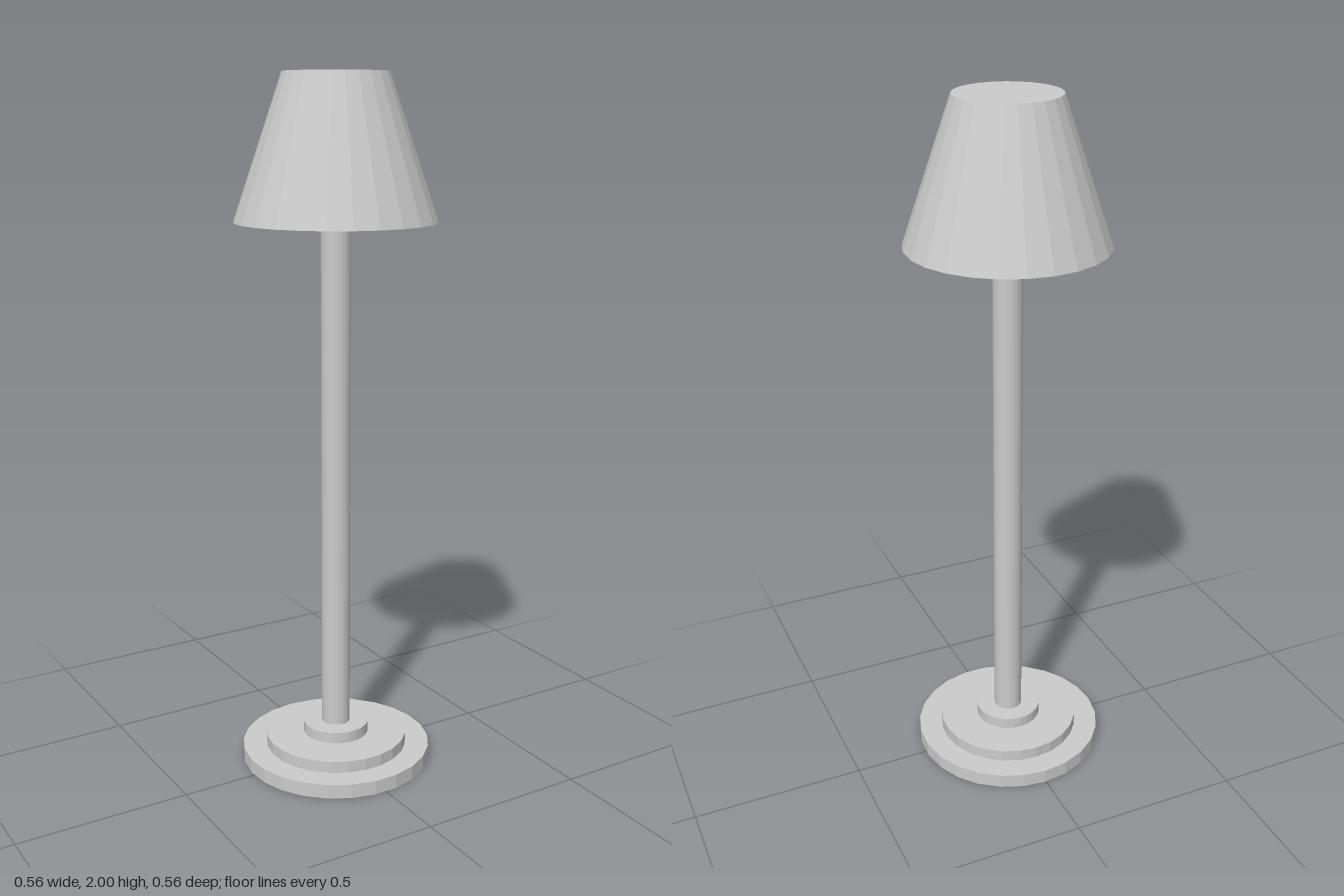
import * as THREE from 'three';

const SIDES = 25;

export function createModel() {
  const lamp = new THREE.Group();
  lamp.name = 'floorLamp';
  const solid = new THREE.MeshStandardMaterial({ color: 0xcccccc, flatShading: true });
  const thin = new THREE.MeshStandardMaterial({ color: 0xcccccc, flatShading: true, side: THREE.DoubleSide });

  // Faceted round part between two heights, with a corner facing the back
  function addRound(name, rTop, rBottom, y0, y1, material = solid, open = false) {
    const geometry = new THREE.CylinderGeometry(rTop, rBottom, y1 - y0, SIDES, 1, open);
    geometry.rotateY(Math.PI);
    const mesh = new THREE.Mesh(geometry, material);
    mesh.name = name;
    mesh.position.y = (y0 + y1) / 2;
    lamp.add(mesh);
  }

  // Stepped base
  addRound('baseLower', 0.28, 0.28, 0, 0.042);
  addRound('baseMiddle', 0.21, 0.21, 0.042, 0.077);
  addRound('baseCollar', 0.097, 0.097, 0.077, 0.11);

  // Pole, running up inside the shade
  addRound('pole', 0.042, 0.042, 0.11, 1.99);

  // Shade, open below and closed on top
  addRound('shade', 0.146, 0.283, 1.6, 2, thin, true);
  const top = new THREE.CircleGeometry(0.146, SIDES, Math.PI / 2, Math.PI * 2);
  top.rotateX(-Math.PI / 2);
  const shadeTop = new THREE.Mesh(top, thin);
  shadeTop.name = 'shadeTop';
  shadeTop.position.y = 2;
  lamp.add(shadeTop);

  return lamp;
}
